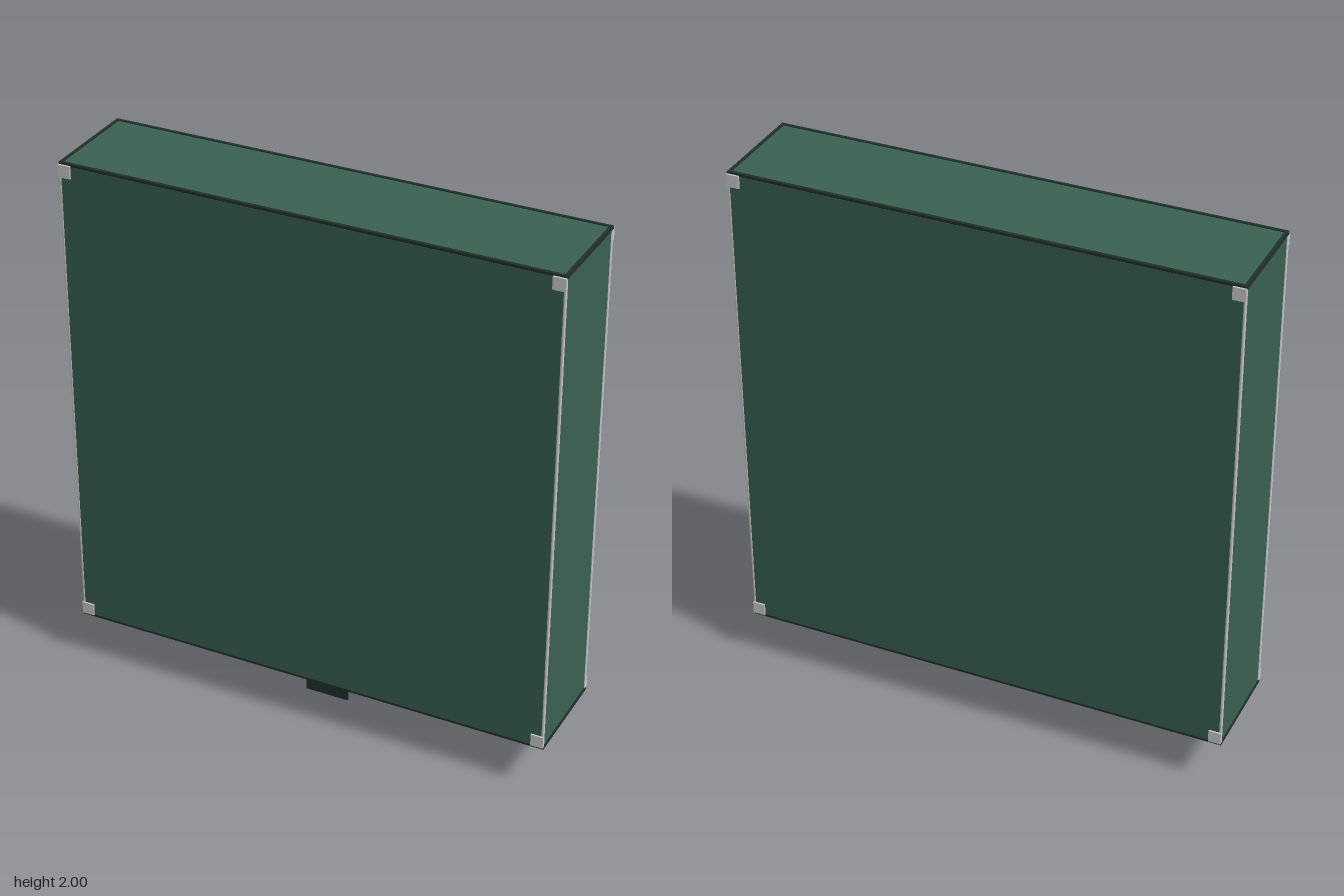
import * as THREE from 'three';

const mat = (color) => new THREE.MeshStandardMaterial({ color });

export function createModel() {
  const model = new THREE.Group();
  const green = mat(0x3a6152), dark = mat(0x20302a), grey = mat(0xcccccc);

  function add(name, geometry, material, x, y, z, parent = model) {
    const mesh = new THREE.Mesh(geometry, material);
    mesh.name = name;
    mesh.position.set(x, y, z);
    parent.add(mesh);
    return mesh;
  }
  const box = (name, w, h, d, material, x, y, z, parent) =>
    add(name, new THREE.BoxGeometry(w, h, d), material, x, y, z, parent);

  const W = 1.81, D = 0.38, BOTTOM = 0.18, TOP = 1.995, WALL = 0.03;
  const H = TOP - BOTTOM, MID = (TOP + BOTTOM) / 2;

  // Case: four walls and a lid, open underneath
  const shell = new THREE.Group();
  shell.name = 'caseShell';
  model.add(shell);
  for (const s of [-1, 1]) {
    box('broadWall', W, H, WALL, green, 0, MID, s * (D - WALL) / 2, shell);
    box('sideWall', WALL, H, D - 2 * WALL, green, s * (W - WALL) / 2, MID, 0, shell);
  }
  box('lid', W - 2 * WALL, WALL, D - 2 * WALL, green, 0, TOP - WALL / 2, 0, shell);

  // Recessed floor panel
  box('floorPanel', W - 2 * WALL, 0.02, D - 2 * WALL, grey, 0, BOTTOM + 0.03, 0);

  // Dark piping around the top and bottom edges
  for (const y of [BOTTOM + 0.004, TOP - 0.003]) {
    for (const s of [-1, 1]) {
      box('longPiping', W + 0.008, 0.012, 0.012, dark, 0, y, s * 0.187);
      box('shortPiping', 0.012, 0.012, D, dark, s * 0.903, y, 0);
    }
  }
  // Dark rim under the case
  for (const s of [-1, 1]) {
    box('longRim', W, 0.006, WALL, dark, 0, BOTTOM, s * (D - WALL) / 2);
    box('shortRim', WALL, 0.006, D, dark, s * (W - WALL) / 2, BOTTOM, 0);
  }

  // Upright edge beads, cover panels and corner plates
  const bead = new THREE.CylinderGeometry(0.006, 0.006, H - 0.02, 8);
  for (const sz of [-1, 1]) {
    box('coverPanel', W - 0.01, H - 0.015, 0.006, green, 0, MID, sz * 0.191);
    for (const sx of [-1, 1]) {
      add('edgeBead', bead, grey, sx * 0.904, MID, sz * 0.189);
      for (const y of [0.21, 1.968])
        box('cornerPlate', 0.046, 0.046, 0.008, grey, sx * 0.886, y, sz * 0.196);
    }
  }

  // Pull tab with stitching
  const tab = new THREE.Group();
  tab.name = 'pullTab';
  model.add(tab);
  box('tabStrap', 0.166, 0.21, 0.01, dark, 0, 0.105, 0.02, tab);
  for (const s of [-1, 1])
    for (let i = 0; i < 8; i++)
      box('stitch', 0.004, 0.009, 0.004, dark, s * 0.068, 0.055 + i * 0.016, 0.026, tab);
  box('topSeam', 0.136, 0.004, 0.004, grey, 0, 0.172, 0.026, tab);

  return model;
}
